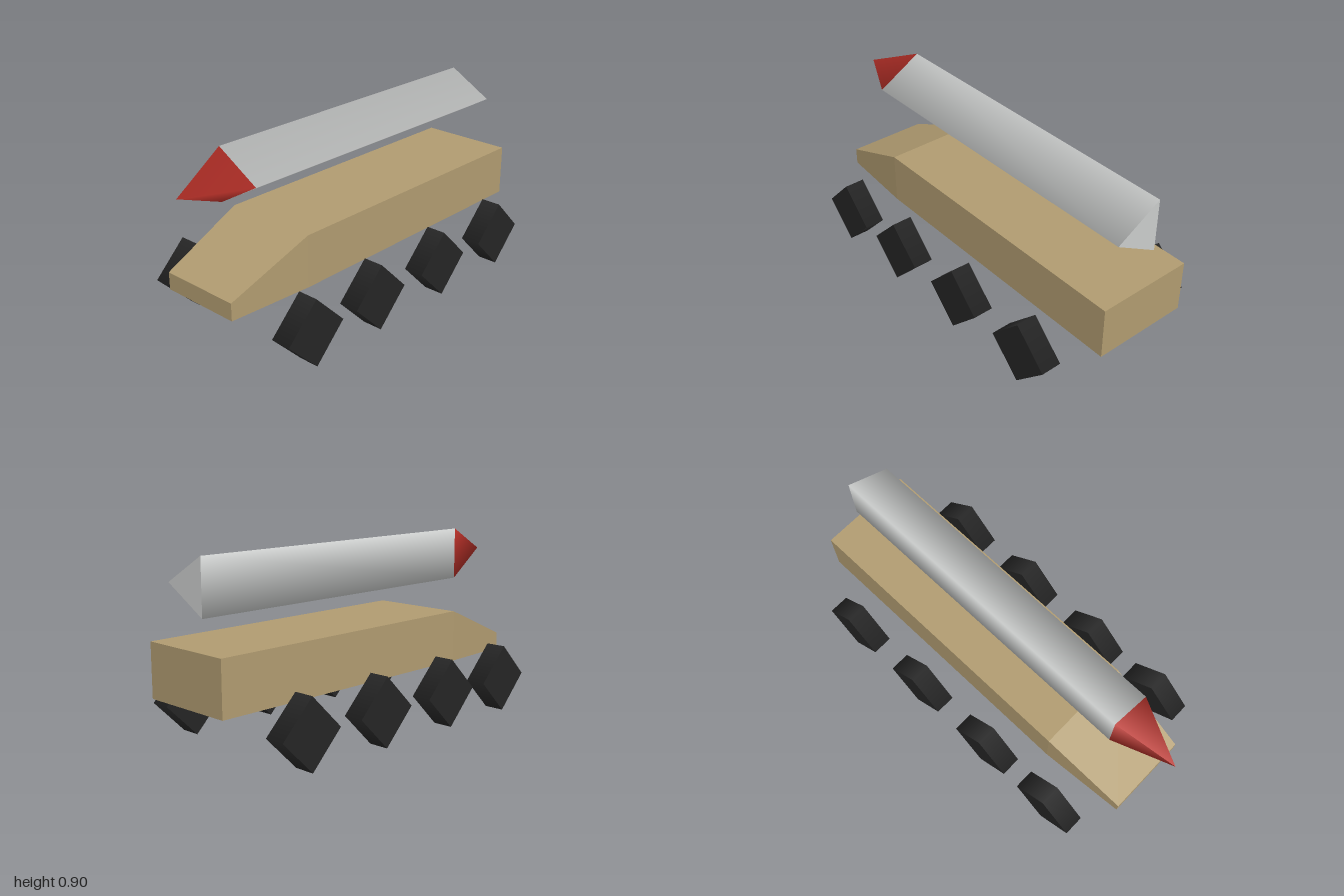
import * as THREE from 'three';

const mat = (name, color, extra = {}) => {
  const m = new THREE.MeshStandardMaterial({ color, ...extra });
  m.name = name;
  return m;
};

// Faceted solid lofted through rectangular sections [z, halfWidth, bottom, top]
function loftHull(sections) {
  const ring = ([z, w, b, t]) => [[w, b, z], [w, t, z], [-w, t, z], [-w, b, z]];
  const rings = sections.map(ring);
  const pos = [];
  const quad = (a, b, c, d) => [a, b, c, a, c, d].forEach((p) => pos.push(...p));
  for (let s = 0; s < rings.length - 1; s++) {
    const r = rings[s], f = rings[s + 1];
    for (let i = 0; i < 4; i++) {
      const j = (i + 1) % 4;
      quad(r[i], r[j], f[j], f[i]);
    }
  }
  const [a, b, c, d] = rings[0];
  quad(d, c, b, a);
  quad(...rings[rings.length - 1]);
  const g = new THREE.BufferGeometry();
  g.setAttribute('position', new THREE.Float32BufferAttribute(pos, 3));
  g.computeVertexNormals();
  return g;
}

export function createModel() {
  const group = new THREE.Group();
  const tan = mat('tan', 0xb09b70, { flatShading: true });
  const silver = mat('silver', 0xcacccb);
  const red = mat('red', 0xb83028);
  const black = mat('black', 0x252525);

  const add = (name, geometry, material, x, y, z) => {
    const mesh = new THREE.Mesh(geometry, material);
    mesh.name = name;
    mesh.position.set(x, y, z);
    group.add(mesh);
  };

  // Truck body: long box with a sloping, narrowing nose
  add('hull', loftHull([
    [-1, 0.241, 0.251, 0.507],
    [0.49, 0.241, 0.251, 0.507],
    [0.915, 0.207, 0.246, 0.331],
  ]), tan, 0, 0, 0);

  // Three-sided rocket lying along z, one edge pointing to +x
  const tube = new THREE.CylinderGeometry(0.15, 0.15, 1.66, 3, 1, false, Math.PI / 2);
  tube.rotateX(Math.PI / 2);
  add('rocketBody', tube, silver, 0, 0.77, -0.13);
  const nose = new THREE.ConeGeometry(0.15, 0.3, 3, 1, false, Math.PI / 2);
  nose.rotateX(Math.PI / 2);
  add('rocketNose', nose, red, 0, 0.77, 0.85);

  // Four pairs of four-sided wheels standing on a corner
  const wheel = new THREE.CylinderGeometry(0.166, 0.166, 0.102, 4);
  wheel.rotateZ(Math.PI / 2);
  for (const side of [1, -1]) {
    [0.648, 0.227, -0.233, -0.693].forEach((z, i) =>
      add(`${side > 0 ? 'left' : 'right'}Wheel${i + 1}`, wheel, black, side * 0.392, 0.166, z));
  }
  return group;
}
